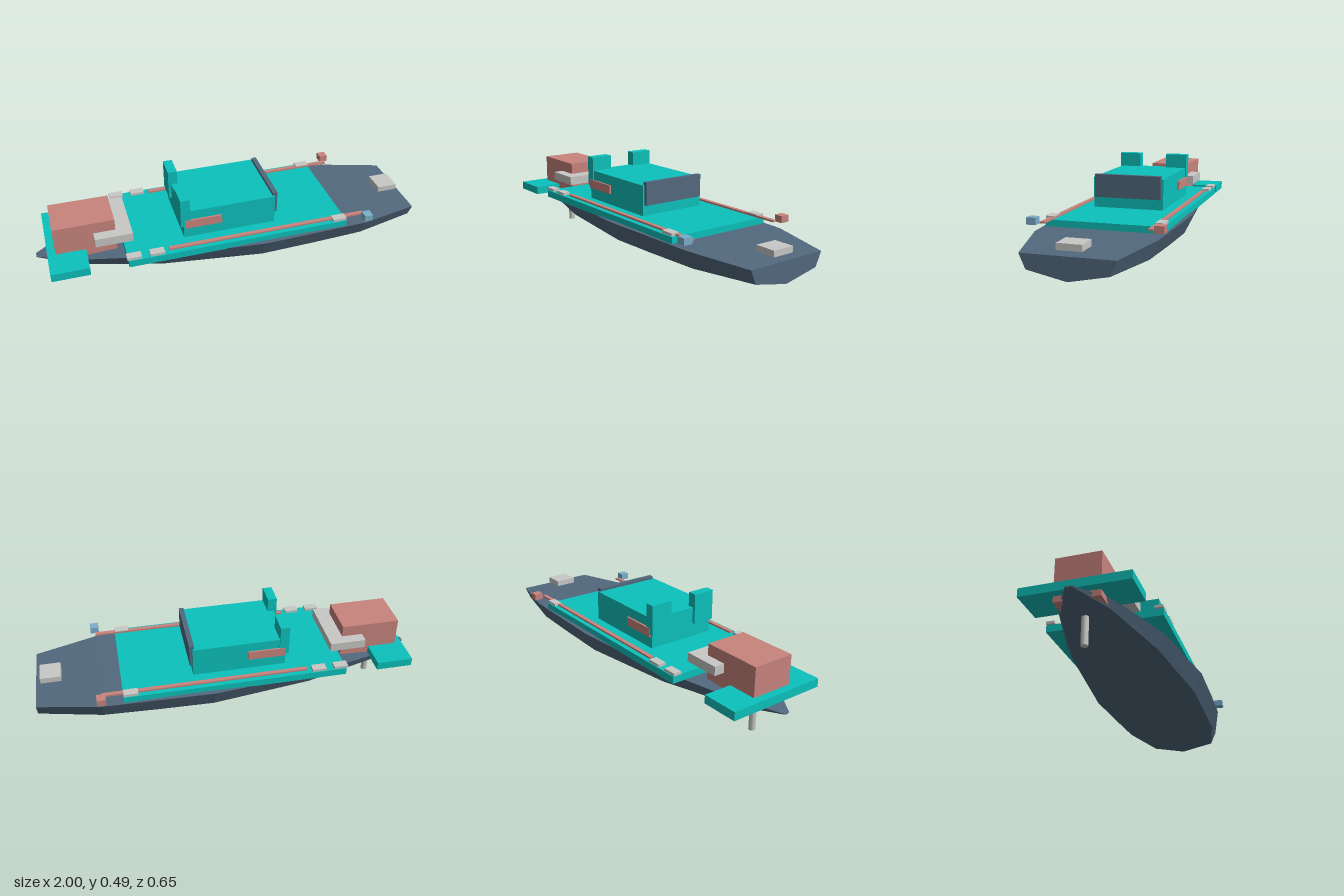
import * as THREE from 'three';

const paint = (name, color) => {
  const m = new THREE.MeshStandardMaterial({ color });
  m.name = name;
  return m;
};

// Lofted hull: stations of [x, gunwale half width, gunwale y, chine y, keel y]
function hullGeometry() {
  const stations = [
    [-1, 0.015, 0.177, 0.173, 0.17],
    [-0.8, 0.133, 0.203, 0.16, 0.135],
    [-0.4, 0.248, 0.222, 0.146, 0.1],
    [0.12, 0.315, 0.235, 0.135, 0.077],
    [0.4, 0.306, 0.234, 0.136, 0.083],
    [0.68, 0.294, 0.23, 0.139, 0.094],
    [1, 0.215, 0.215, 0.146, 0.108],
  ];
  const points = [];
  for (const [x, w, top, chine, keel] of stations) {
    const c = w * 0.86;
    points.push(x, keel, 0, x, chine, -c, x, top, -w, x, top, w, x, chine, c);
  }
  const index = [];
  for (let i = 0; i < stations.length - 1; i++) {
    for (let j = 0; j < 5; j++) {
      const a = i * 5 + j, b = i * 5 + (j + 1) % 5;
      index.push(a, b, b + 5, a, b + 5, a + 5);
    }
  }
  // End caps
  const bow = (stations.length - 1) * 5;
  for (let j = 1; j < 4; j++) {
    index.push(0, j + 1, j, bow, bow + j, bow + j + 1);
  }
  const indexed = new THREE.BufferGeometry();
  indexed.setAttribute('position', new THREE.Float32BufferAttribute(points, 3));
  indexed.setIndex(index);
  const geometry = indexed.toNonIndexed();
  geometry.computeVertexNormals();
  return geometry;
}

export function createModel() {
  const boat = new THREE.Group();
  boat.name = 'boat';
  const slate = paint('slate', 0x53697e);
  const teal = paint('teal', 0x0cc2bc);
  const red = paint('dusty red', 0xc9847e);
  const grey = paint('light grey', 0xc8c9c6);
  const blue = paint('light blue', 0x7bafcb);

  const add = (name, geometry, material) => {
    const mesh = new THREE.Mesh(geometry, material);
    mesh.name = name;
    boat.add(mesh);
    return mesh;
  };
  // Box given by its limits on each axis
  const box = (name, material, [x0, x1], [y0, y1], [z0, z1]) =>
    add(name, new THREE.BoxGeometry(x1 - x0, y1 - y0, z1 - z0), material)
      .position.set((x0 + x1) / 2, (y0 + y1) / 2, (z0 + z1) / 2);
  // The same box on both sides of the boat
  const pair = (name, materials, x, y, [z0, z1]) => {
    box(name + 'Left', materials[0], x, y, [z0, z1]);
    box(name + 'Right', materials[1] ?? materials[0], x, y, [-z1, -z0]);
  };

  add('hull', hullGeometry(), slate);
  box('deck', teal, [-0.57, 0.573], [0.227, 0.264], [-0.289, 0.289]);

  // Cabin with its front screen, rear fins and side panels
  box('cabin', teal, [-0.27, 0.21], [0.26, 0.419], [-0.183, 0.183]);
  box('frontScreen', slate, [0.2, 0.225], [0.318, 0.435], [-0.173, 0.173]);
  pair('rearFin', [teal], [-0.285, -0.237], [0.335, 0.492], [0.074, 0.19]);
  pair('sidePanel', [red], [-0.265, -0.073], [0.323, 0.369], [0.18, 0.193]);

  // Stern machinery
  box('engineHousing', red, [-0.905, -0.6], [0.17, 0.391], [-0.109, 0.109]);
  box('sternPlatform', teal, [-0.945, -0.755], [0.2, 0.243], [-0.258, 0.258]);
  box('sternLocker', grey, [-0.71, -0.522], [0.286, 0.332], [-0.164, 0.164]);
  add('rudderPost', new THREE.CylinderGeometry(0.017, 0.017, 0.17, 12), grey)
    .position.set(-0.8, 0.085, 0);

  // Deck fittings
  box('anchorHatch', grey, [0.87, 0.975], [0.232, 0.262], [-0.058, 0.058]);
  pair('rail', [red], [-0.365, 0.677], [0.267, 0.276], [0.245, 0.267]);
  for (const x of [-0.541, -0.426, 0.535]) {
    pair('cleat', [grey], [x - 0.036, x + 0.036], [0.267, 0.281], [0.246, 0.288]);
  }
  pair('navigationLight', [blue, red], [0.658, 0.702], [0.263, 0.297], [0.278, 0.325]);

  return boat;
}
